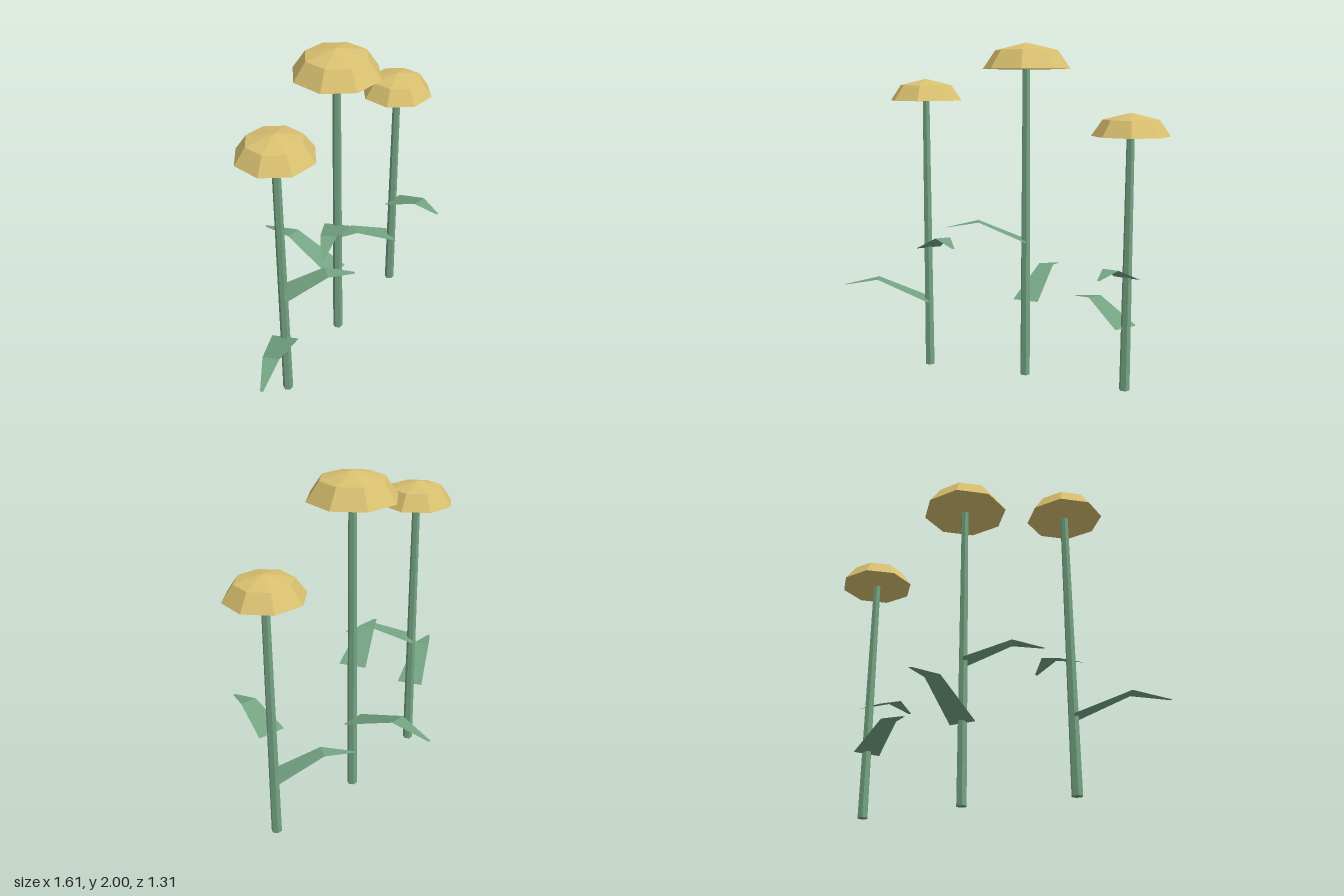
import * as THREE from 'three';

const green = new THREE.MeshStandardMaterial({ color: 0x74a382, flatShading: true, side: THREE.DoubleSide });
green.name = 'leafGreen';
const yellow = new THREE.MeshStandardMaterial({ color: 0xd9c070, flatShading: true });
yellow.name = 'bloomYellow';

// Each flower: position, height of the bloom's rim, bloom radius, leaves.
// Each leaf: tip offset from the stem [x, z], then heights at base, bend and tip.
const flowers = [
  { x: 0.025, z: -0.14, rim: 1.85, r: 0.257, leaves: [
    [-0.285, -0.51, 0.465, 0.62, 0.58], [-0.275, 0.38, 0.835, 0.955, 0.92]] },
  { x: -0.49, z: 0.225, rim: 1.665, r: 0.219, leaves: [
    [-0.31, 0.425, 0.42, 0.56, 0.52], [0.41, 0.085, 0.755, 0.86, 0.825]] },
  { x: 0.58, z: -0.44, rim: 1.48, r: 0.22, leaves: [
    [-0.465, -0.025, 0.375, 0.50, 0.465], [0.135, 0.355, 0.67, 0.765, 0.735]] },
];

// Flat blade that rises to a bend, then droops to a narrow tip
function leafGeometry([tx, tz, ...heights]) {
  const length = Math.hypot(tx, tz);
  const along = [0, 0.6, 1];
  const widths = [0.16, 0.095, 0.016];
  const positions = [];
  for (let i = 0; i < 3; i++) {
    for (const side of [-1, 1]) {
      const w = side * widths[i] / 2 / length;
      positions.push(tx * along[i] + tz * w, heights[i], tz * along[i] - tx * w);
    }
  }
  const geometry = new THREE.BufferGeometry();
  geometry.setAttribute('position', new THREE.Float32BufferAttribute(positions, 3));
  geometry.setIndex([0, 1, 3, 0, 3, 2, 2, 3, 5, 2, 5, 4]);
  geometry.computeVertexNormals();
  return geometry;
}

// Eight-sided domed bloom with a closed underside
function bloomGeometry(r) {
  const profile = [[0, 0], [r, 0], [r * 0.71, r * 0.415], [0, r * 0.585]];
  return new THREE.LatheGeometry(profile.map(([x, y]) => new THREE.Vector2(x, y)), 8);
}

export function createModel() {
  const model = new THREE.Group();
  model.name = 'flowers';
  for (const { x, z, rim, r, leaves } of flowers) {
    const flower = new THREE.Group();
    flower.name = 'flower';
    flower.position.set(x, 0, z);

    // Slightly tapered six-sided stem
    const stem = new THREE.Mesh(new THREE.CylinderGeometry(0.023, 0.031, rim, 6), green);
    stem.name = 'stem';
    stem.position.y = rim / 2;

    const bloom = new THREE.Mesh(bloomGeometry(r), yellow);
    bloom.name = 'bloom';
    bloom.position.y = rim;
    flower.add(stem, bloom);

    for (const spec of leaves) {
      const leaf = new THREE.Mesh(leafGeometry(spec), green);
      leaf.name = 'leaf';
      flower.add(leaf);
    }
    model.add(flower);
  }
  return model;
}
